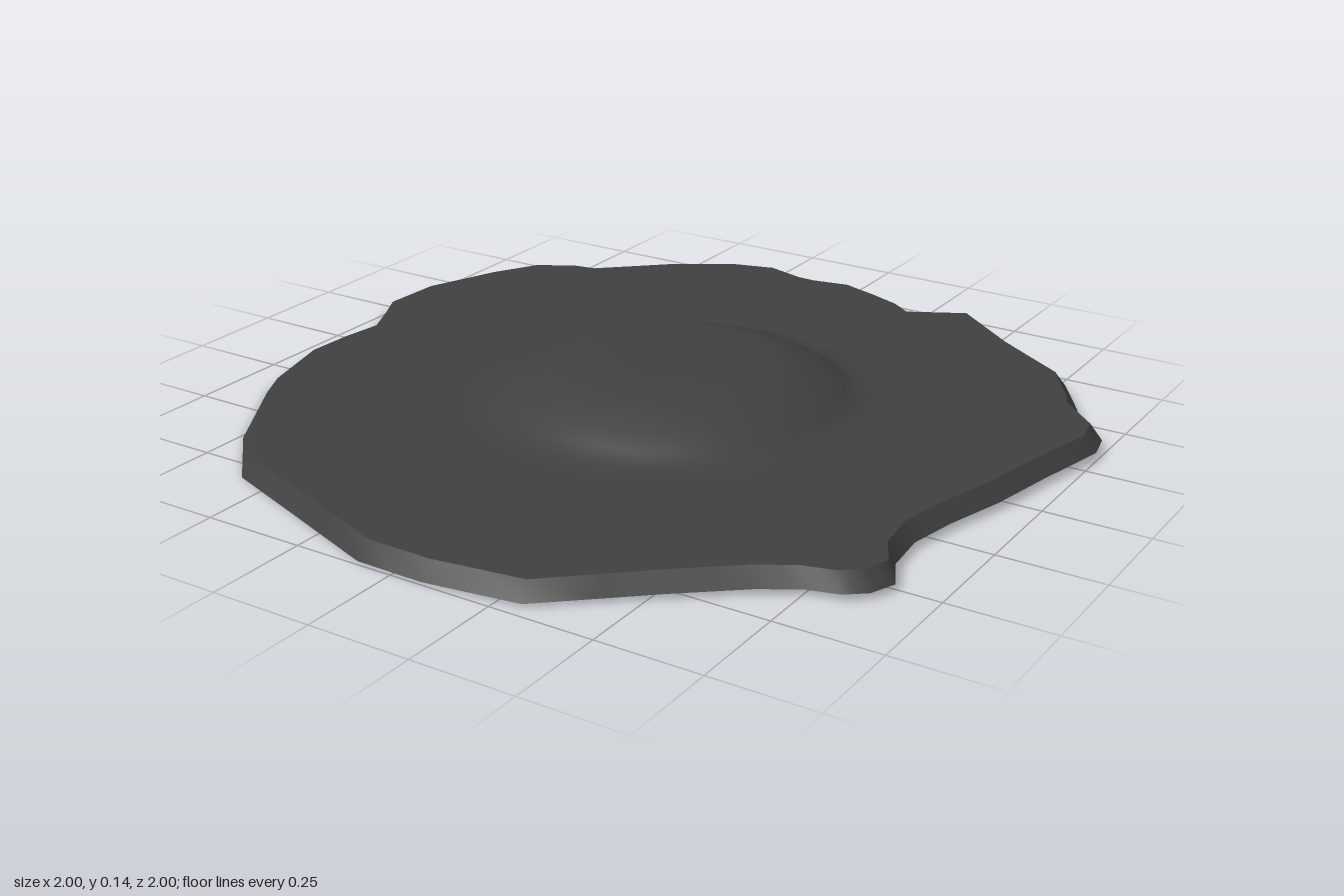
import * as THREE from 'three';
import { toCreasedNormals } from 'three/addons/utils/BufferGeometryUtils.js';

// Ragged outer edge as x, z pairs, clockwise seen from above
const EDGE = [
  -.235, -1, -.13, -.968, -.08, -.965, .02, -.98, .12, -.945, .21, -.908, .265, -.868, .41, -.937,
  .59, -.79, .785, -.655, .865, -.53, .89, -.48, .985, -.385, 1, -.31, .955, -.12, .92, .05,
  .875, .2, .85, .32, .86, .43, .9, .51, .875, .57, .83, .605, .755, .625, .67, .675,
  .53, .785, .31, .97, .08, 1, -.09, .995, -.37, .89, -.585, .81, -.74, .64, -.885, .4,
  -.94, .2, -.935, .08, -.92, -.03, -.965, -.13, -1, -.2, -.99, -.36, -.91, -.55, -.84, -.665,
  -.745, -.72, -.68, -.73, -.51, -.875, -.355, -.97,
];
const CENTRE = new THREE.Vector2(0.03, -0.035);

// Dome rings (radius, height), from the middle outwards
const DOME = [[0, .143], [.12, .143], [.245, .142], [.3, .127], [.365, .103], [.41, .077], [.445, .054]];

// Edge points with one extra between each pair, relative to the dome centre
function edgeSpokes() {
  const corners = [];
  for (let i = 0; i < EDGE.length; i += 2) corners.push(new THREE.Vector2(EDGE[i], EDGE[i + 1]).sub(CENTRE));
  return corners.flatMap((p, i) => [p, p.clone().lerp(corners[(i + 1) % corners.length], 0.5)]);
}

function sheetGeometry() {
  const spokes = edgeSpokes();
  const n = spokes.length;
  const rings = DOME.map(([r, y]) => ({ y, at: (p) => p.clone().setLength(r) }));
  // Flat brim between the dome foot and the rim
  for (const t of [0.12, 0.5, 1]) {
    rings.push({ y: .053, at: (p) => p.clone().setLength(.445 + (p.length() - .03 - .445) * t) });
  }
  // Turned-down rim
  rings.push({ y: .013, at: (p) => p.clone() });

  const positions = [];
  const index = [];
  rings.forEach((ring, k) => spokes.forEach((p, j) => {
    const q = ring.at(p).add(CENTRE);
    const tilt = 0.01 * q.x - 0.005 * q.y;
    positions.push(q.x, Math.max(0, ring.y + tilt), q.y);
    if (k === 0) return;
    const j2 = (j + 1) % n;
    const a = (k - 1) * n + j, b = (k - 1) * n + j2, c = k * n + j, d = k * n + j2;
    if (k > 1) index.push(a, b, c);
    index.push(b, d, c);
  }));

  const geometry = new THREE.BufferGeometry();
  geometry.setAttribute('position', new THREE.Float32BufferAttribute(positions, 3));
  geometry.setIndex(index);
  return toCreasedNormals(geometry, 0.8);
}

export function createModel() {
  const group = new THREE.Group();
  group.name = 'raggedDisc';
  const material = new THREE.MeshStandardMaterial({ color: 0x404040, side: THREE.DoubleSide });
  const sheet = new THREE.Mesh(sheetGeometry(), material);
  sheet.name = 'domedSheet';
  group.add(sheet);
  return group;
}
